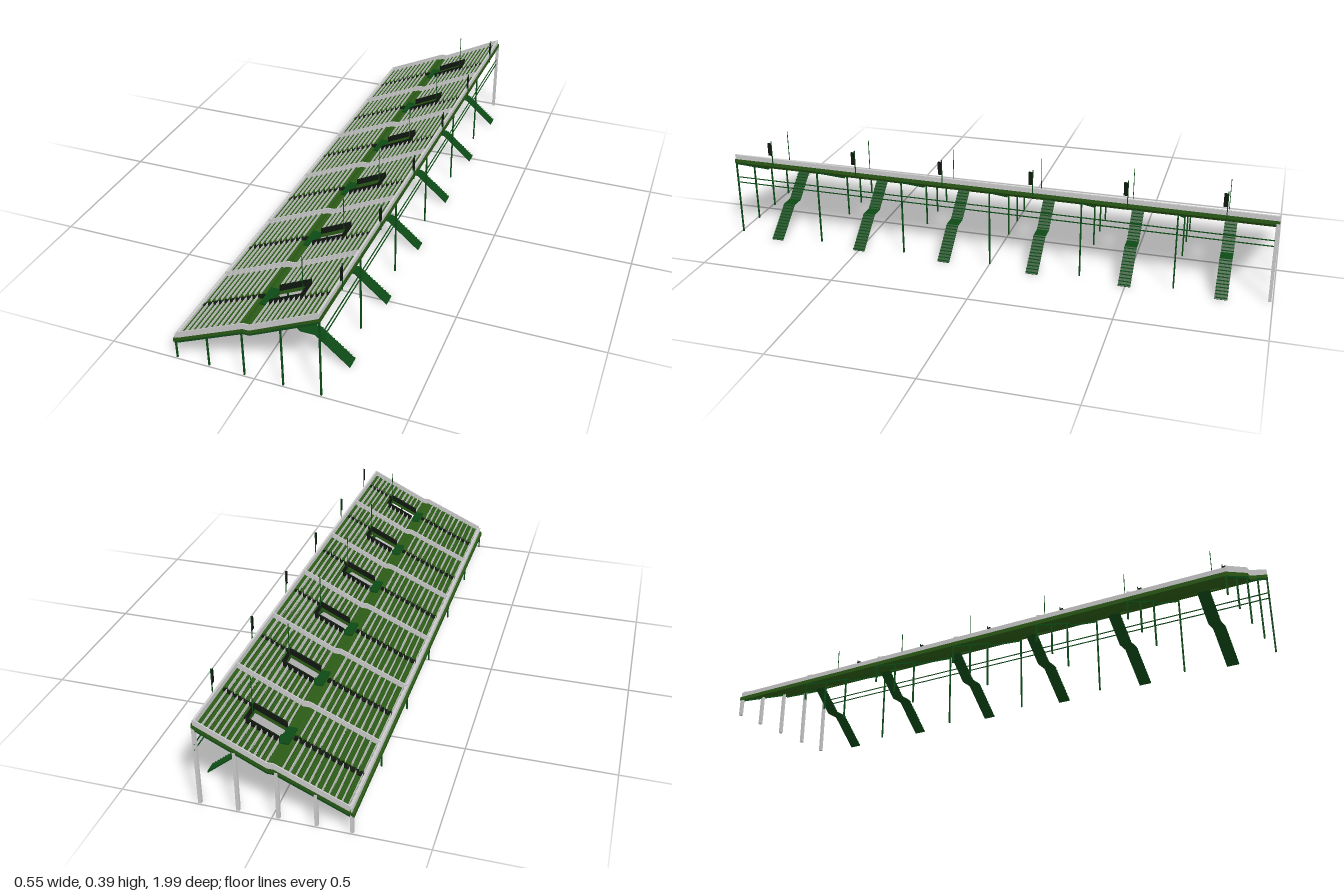
import * as THREE from 'three';
import { mergeGeometries } from 'three/addons/utils/BufferGeometryUtils.js';

const mat = (color) => new THREE.MeshStandardMaterial({ color, flatShading: true, side: THREE.DoubleSide });
const GREY = mat(0xcccccc), DECK = mat(0x2b5a16), STEEL = mat(0x0d4a16), DARK = mat(0x10180f);

const HALF = 0.995, BAYS = 6, BAY = (2 * HALF) / BAYS;
const HOLE = { x0: 0.008, x1: 0.113, w: 0.07 };
const bayCentres = Array.from({ length: BAYS }, (_, i) => -HALF + BAY * (i + 0.5));
const bayEdges = Array.from({ length: BAYS + 1 }, (_, i) => -HALF + BAY * i);

// Height of the rake: lower tier, level walkway, upper tier
const rake = (x) => (x < -0.022 ? 0.186 + (x + 0.022) * 0.45 : x < 0 ? 0.186 : 0.186 + x * 0.488);

const box = (x0, x1, y0, y1, z0, z1) =>
  new THREE.BoxGeometry(x1 - x0, y1 - y0, z1 - z0).translate((x0 + x1) / 2, (y0 + y1) / 2, (z0 + z1) / 2);

// Extrude an x-y outline from z0 to z1
function prism(points, z0, z1) {
  const shape = new THREE.Shape(points.map(([x, y]) => new THREE.Vector2(x, y)));
  return new THREE.ExtrudeGeometry(shape, { depth: z1 - z0, bevelEnabled: false }).translate(0, 0, z0);
}

// Band following the rake between two offsets
function band(x0, x1, low, high, z0, z1) {
  const xs = [x0, ...[-0.022, 0].filter((x) => x > x0 && x < x1), x1];
  const top = xs.map((x) => [x, rake(x) + high]);
  const bottom = xs.map((x) => [x, rake(x) + low]).reverse();
  return prism([...top, ...bottom], z0, z1);
}

export function createModel() {
  const group = new THREE.Group();
  // The whole stand is slightly skewed in plan
  const skew = new THREE.Matrix4().set(1, 0, -0.009, 0, 0, 1, 0, 0, 0, 0, 1, 0, 0, 0, 0, 1);
  const add = (name, geos, material) => {
    const geo = mergeGeometries(geos.map((g) => (g.index ? g.toNonIndexed() : g)));
    geo.applyMatrix4(skew);
    geo.computeVertexNormals();
    const mesh = new THREE.Mesh(geo, material);
    mesh.name = name;
    group.add(mesh);
  };

  // Raked deck with one stair opening per bay
  const deck = [band(-0.27, HOLE.x0, -0.014, 0, -HALF, HALF), band(HOLE.x1, 0.234, -0.014, 0, -HALF, HALF)];
  let z = -HALF;
  for (const c of [...bayCentres, null]) {
    const end = c === null ? HALF : c - HOLE.w / 2;
    deck.push(band(HOLE.x0, HOLE.x1, -0.014, 0, z, end));
    if (c !== null) z = c + HOLE.w / 2;
  }
  add('deck', deck, DECK);

  // Seat rows: a green tread and a thin upright grey board, interrupted by aisles and openings
  const treads = [], boards = [];
  const row = (x, pitch, z0, z1) => {
    const y = rake(x);
    treads.push(box(x, x + pitch * 0.8, y, y + 0.006, z0, z1));
    boards.push(box(x, x + 0.0015, y, y + 0.017, z0, z1));
  };
  for (const c of bayCentres) {
    const a = c - BAY / 2 + 0.004, b = c + BAY / 2 - 0.004;
    for (let i = 0; i < 11; i++) {
      const x = -0.25 + i * 0.0203;
      row(x, 0.0203, a, c - 0.009);
      row(x, 0.0203, c + 0.009, b);
    }
    for (let i = 0; i < 12; i++) {
      const x = 0.006 + i * 0.0178;
      const beside = x < HOLE.x1;
      row(x, 0.0178, a, beside ? c - 0.042 : c + 0.033);
      row(x, 0.0178, beside ? c + 0.042 : c + 0.047, b);
    }
  }
  add('seatTreads', treads, DECK);
  add('seatBoards', boards, GREY);

  // Low fences at the long edges and walkway, and partitions between bays
  add('longFences', [
    box(-0.263, -0.26, 0.078, 0.094, -HALF, HALF),
    box(-0.259, -0.252, 0.09, 0.094, -HALF, HALF),
    box(0.221, 0.229, 0.296, 0.315, -HALF, HALF),
  ], GREY);
  add('bayPartitions', bayEdges.map((e) => {
    const zc = THREE.MathUtils.clamp(e, -HALF + 0.002, HALF - 0.002);
    return band(-0.257, 0.226, 0, 0.021, zc - 0.002, zc + 0.002);
  }), GREY);

  // Aisle steps, opening surrounds and landings
  const aisles = [], surrounds = [], landings = [];
  for (const c of bayCentres) {
    for (let i = 0; i < 18; i++) {
      const x = -0.245 + i * 0.0122;
      aisles.push(box(x, x + 0.01, rake(x), rake(x) + 0.009, c - 0.009, c + 0.009));
    }
    for (let i = 0; i < 9; i++) {
      const x = 0.113 + i * 0.0118;
      aisles.push(box(x, x + 0.01, rake(x), rake(x) + 0.009, c + 0.034, c + 0.046));
    }
    for (const s of [-1, 1]) {
      const zc = c + s * 0.038;
      surrounds.push(band(HOLE.x0, HOLE.x1 + 0.004, 0, 0.021, zc - 0.003, zc + 0.003));
    }
    const y = rake(HOLE.x1);
    surrounds.push(box(HOLE.x1, HOLE.x1 + 0.004, y, y + 0.021, c - 0.038, c + 0.038));
    landings.push(box(-0.024, HOLE.x0, 0.186, 0.192, c - 0.042, c + 0.042));
  }
  add('aisleSteps', aisles, DARK);
  add('openingSurrounds', surrounds, DARK);
  add('landings', landings, STEEL);

  // Two-flight access stairs under each opening
  const path = [[0.006, 0.184], [0.102, 0.1], [0.152, 0.1], [0.267, 0.002]];
  const stairs = [];
  for (const c of bayCentres) {
    const outline = [...path, ...path.map(([x, y]) => [x - 0.002, y - 0.002]).reverse()];
    stairs.push(prism(outline, c - 0.022, c + 0.022));
    for (const [k, n] of [[0, 10], [2, 12]]) {
      const [p, q] = [path[k], path[k + 1]];
      for (let i = 0; i < n; i++) {
        const x = p[0] + ((q[0] - p[0]) * (i + 0.5)) / n;
        const y = p[1] + ((q[1] - p[1]) * (i + 0.5)) / n;
        stairs.push(box(x - 0.004, x + 0.004, y, y + 0.0015, c - 0.022, c + 0.022));
      }
    }
  }
  add('accessStairs', stairs, STEEL);

  // Columns on every bay line; the far end frame is grey and heavier
  const columns = [], endColumns = [];
  for (const e of bayEdges) {
    for (const x of [-0.262, -0.15, -0.028, 0.103, 0.229]) {
      const far = e < -HALF + 0.01;
      if (x === 0.103 && Math.abs(e) < 0.9) continue;
      const r = far ? 0.0055 : 0.0025;
      const zc = THREE.MathUtils.clamp(e, -HALF + r, HALF - r);
      (far ? endColumns : columns).push(box(x - r, x + r, 0, rake(x) - 0.008, zc - r, zc + r));
    }
  }
  add('columns', columns, STEEL);
  add('endColumns', endColumns, GREY);

  // Raking beams below the deck and long rails along the tall side
  add('rakingBeams', bayEdges.map((e) => {
    const zc = THREE.MathUtils.clamp(e, -HALF + 0.002, HALF - 0.002);
    return band(-0.266, 0.231, -0.02, -0.012, zc - 0.002, zc + 0.002);
  }), STEEL);
  add('longRails', [0.204, 0.225].map((y) => box(0.2275, 0.2305, y, y + 0.003, -HALF, HALF)), STEEL);

  // Masts: a slim pole beside each opening and a pole with a panel on the top edge
  const masts = [], panels = [];
  for (const c of bayCentres) {
    const zc = c + 0.006;
    masts.push(box(0.107, 0.109, 0.235, 0.38, zc - 0.001, zc + 0.001));
    masts.push(box(0.2365, 0.2395, 0.29, 0.387, zc - 0.0015, zc + 0.0015));
    masts.push(box(0.228, 0.239, 0.29, 0.294, zc - 0.0015, zc + 0.0015));
    panels.push(box(0.236, 0.24, 0.332, 0.38, zc, zc + 0.014));
  }
  add('masts', masts, STEEL);
  add('mastPanels', panels, DARK);

  return group;
}
